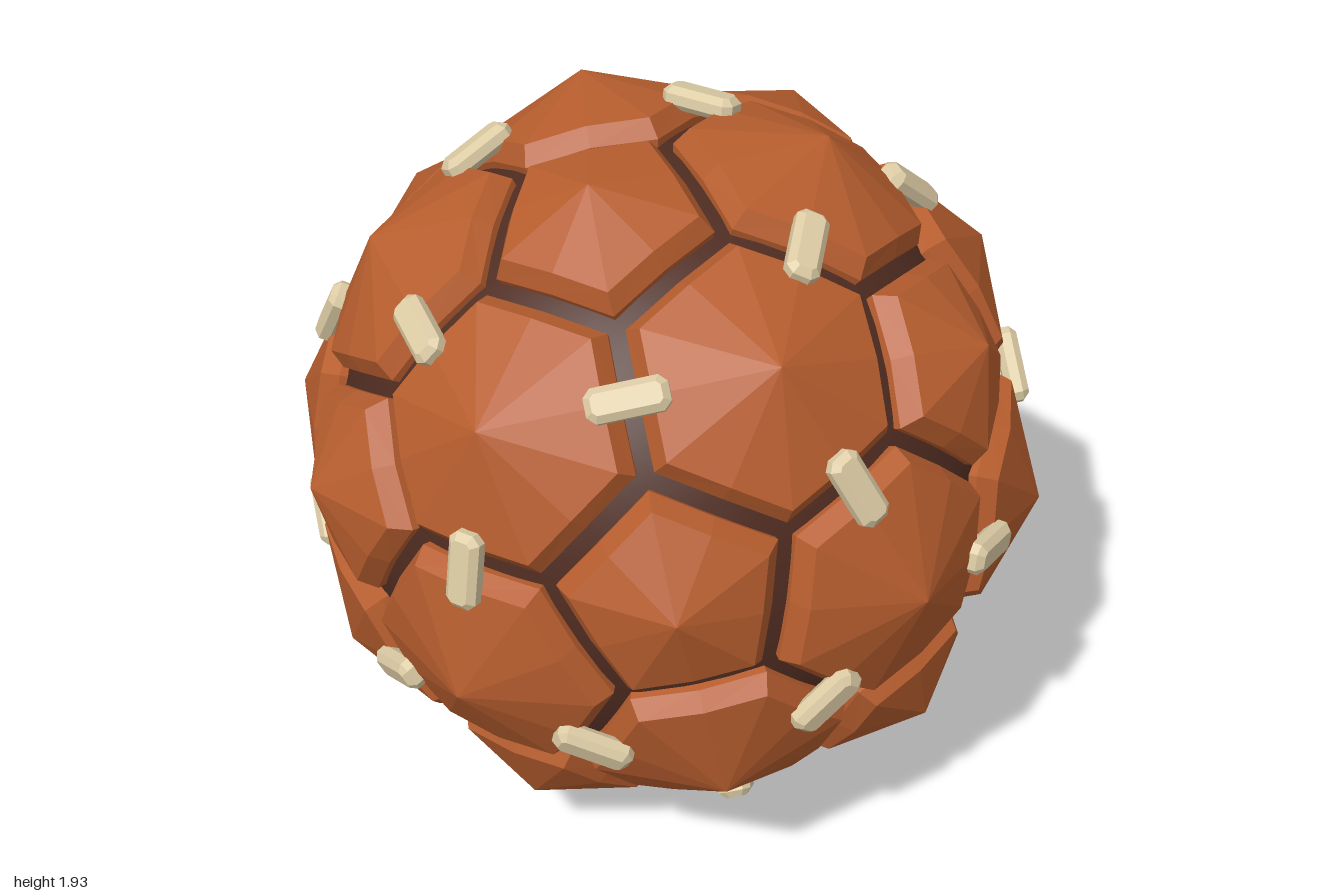
import * as THREE from 'three';

const PHI = (1 + Math.sqrt(5)) / 2;
const TILT = -0.19;
const CENTRE_Y = 0.967;
const APEX = 1.015;
// panel cross-section from the groove inward: [inset from the seam, radius]
const PROFILE = [[0.028, 0.84], [0.028, 0.9], [0.07, 0.945]];

// a domed, bevelled panel around the direction n, with the given seam corners
function panelGeometry(n, corners) {
  const u = corners[0].clone().addScaledVector(n, -corners[0].dot(n)).normalize();
  const v = n.clone().cross(u);
  const sides = corners.length;
  const circum = Math.tan(corners[0].angleTo(n));
  const apothem = circum * Math.cos(Math.PI / sides);
  const count = sides * 2;
  const rings = PROFILE.map(([inset, radius]) => {
    const ring = [];
    for (let i = 0; i < count; i++) {
      // corners alternate with edge midpoints
      const a = (i / count) * Math.PI * 2;
      const d = (i % 2 ? apothem : circum) * (1 - inset / apothem);
      ring.push(n.clone().addScaledVector(u, Math.cos(a) * d)
        .addScaledVector(v, Math.sin(a) * d).setLength(radius));
    }
    return ring;
  });
  const top = n.clone().multiplyScalar(APEX);
  const pos = [];
  const tri = (...pts) => pts.forEach((p) => pos.push(p.x, p.y, p.z));
  for (let i = 0; i < count; i++) {
    const j = (i + 1) % count;
    for (let k = 0; k < rings.length - 1; k++) {
      const lo = rings[k], hi = rings[k + 1];
      tri(lo[i], lo[j], hi[j]);
      tri(lo[i], hi[j], hi[i]);
    }
    const last = rings[rings.length - 1];
    tri(last[i], last[j], top);
  }
  const geo = new THREE.BufferGeometry();
  geo.setAttribute('position', new THREE.Float32BufferAttribute(pos, 3));
  geo.computeVertexNormals();
  return geo;
}

// small chamfered bar, long in y, centred on the origin
function stapleGeometry() {
  const w = 0.026, l = 0.084, c = 0.01, bevel = 0.017, depth = 0.026;
  const outline = [[w, -l + c], [w, l - c], [w - c, l], [c - w, l],
    [-w, l - c], [-w, c - l], [c - w, -l], [w - c, -l]];
  const shape = new THREE.Shape(outline.map(([x, y]) => new THREE.Vector2(x, y)));
  return new THREE.ExtrudeGeometry(shape, {
    depth, bevelEnabled: true, bevelSegments: 1, bevelSize: bevel, bevelThickness: bevel,
  }).translate(0, 0, -depth / 2);
}

export function createModel() {
  const clay = new THREE.MeshStandardMaterial({ color: 0xb65d2e });
  clay.name = 'clay orange';
  const dark = new THREE.MeshStandardMaterial({ color: 0x4e2b20 });
  dark.name = 'dark brown';
  const cream = new THREE.MeshStandardMaterial({ color: 0xdccba4 });
  cream.name = 'cream';
  clay.flatShading = true;
  cream.flatShading = true;

  const model = new THREE.Group();
  model.name = 'panelledBall';
  const ball = new THREE.Group();
  ball.name = 'ball';
  ball.rotation.x = TILT;
  ball.position.y = CENTRE_Y;
  model.add(ball);

  const add = (name, geo, mat) => {
    const mesh = new THREE.Mesh(geo, mat);
    mesh.name = name;
    ball.add(mesh);
    return mesh;
  };

  // dark core seen in the grooves
  add('core', new THREE.IcosahedronGeometry(0.88, 8), dark);

  // icosahedron corners, edges and faces set out the panels
  const poles = [];
  for (const a of [-1, 1]) for (const b of [-PHI, PHI]) {
    poles.push(new THREE.Vector3(a, 0, b), new THREE.Vector3(b, a, 0), new THREE.Vector3(0, b, a));
  }
  const joined = (p, q) => Math.abs(p.distanceTo(q) - 2) < 0.01;
  const seamCorners = [];
  const edges = [];
  const hexCentres = [];
  poles.forEach((p, i) => poles.forEach((q, j) => {
    if (!joined(p, q)) return;
    seamCorners.push(p.clone().multiplyScalar(2).add(q).normalize());
    if (j < i) return;
    edges.push([p, q]);
    poles.forEach((r, k) => {
      if (k > j && joined(p, r) && joined(q, r)) {
        hexCentres.push(p.clone().add(q).add(r).normalize());
      }
    });
  }));

  // twelve five-sided and twenty six-sided panels
  const addPanel = (name, n, sides) => {
    const corners = seamCorners.slice()
      .sort((a, b) => b.dot(n) - a.dot(n)).slice(0, sides);
    add(name, panelGeometry(n, corners), clay);
  };
  poles.forEach((p, i) => addPanel(`pentagonPanel${i + 1}`, p.clone().normalize(), 5));
  hexCentres.forEach((n, i) => addPanel(`hexagonPanel${i + 1}`, n, 6));

  // a staple across every seam between two six-sided panels
  const bar = stapleGeometry();
  edges.forEach(([p, q], i) => {
    const out = p.clone().add(q).normalize();
    const along = q.clone().sub(p).normalize();
    const across = out.clone().cross(along);
    const staple = add(`staple${i + 1}`, bar, cream);
    staple.quaternion.setFromRotationMatrix(new THREE.Matrix4().makeBasis(along, across, out));
    staple.position.copy(out).multiplyScalar(0.95);
  });

  return model;
}
